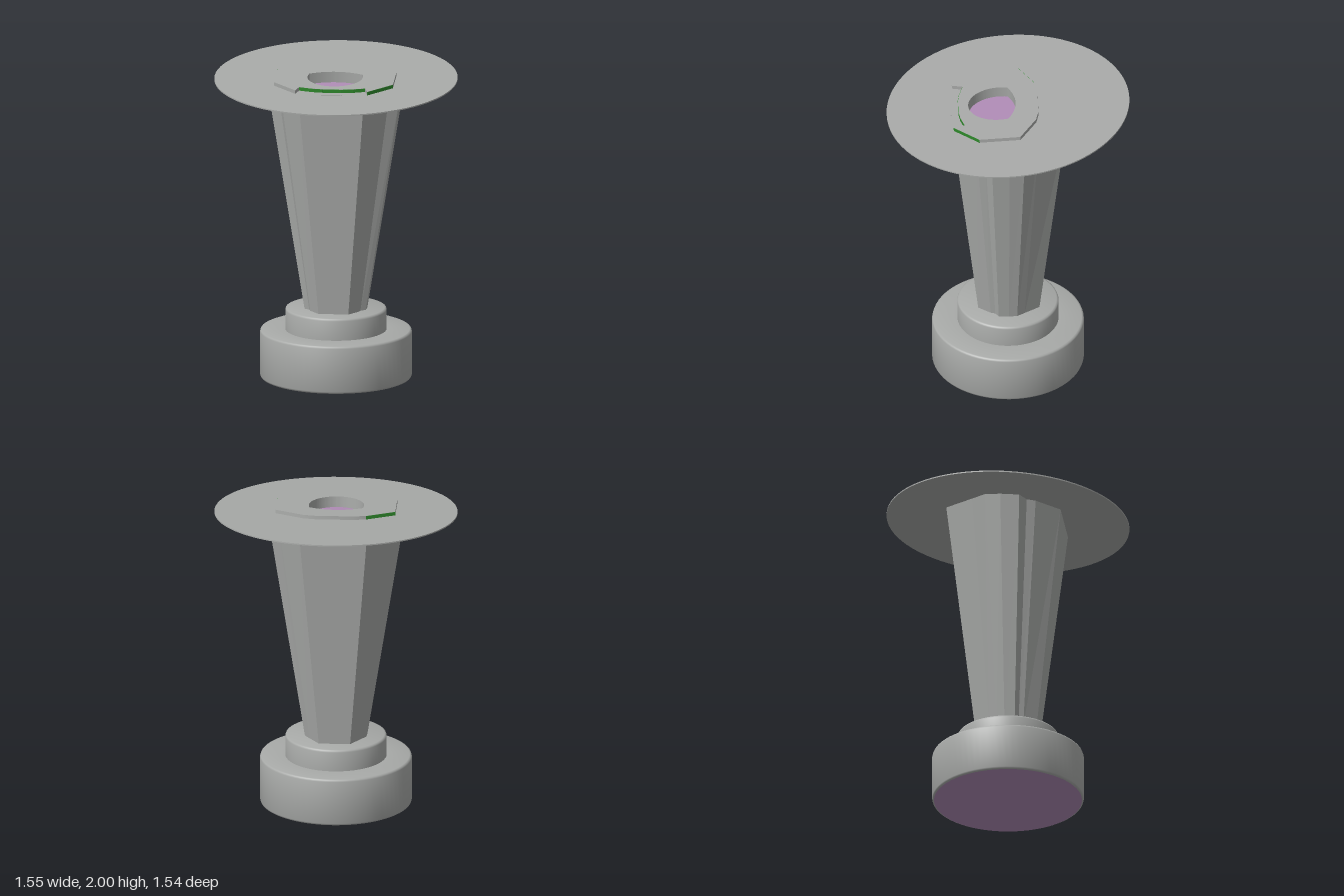
import * as THREE from 'three';
import { toCreasedNormals } from 'three/addons/utils/BufferGeometryUtils.js';

const grey = new THREE.MeshStandardMaterial({ color: 0xa8aaa8 });
grey.name = 'stone grey';
const mauve = new THREE.MeshStandardMaterial({ color: 0xb08cb6 });
mauve.name = 'mauve';
const green = new THREE.MeshStandardMaterial({ color: 0x2f8a2c });
green.name = 'green';

const TILT = 0.065;

function part(name, geometry, material) {
  const mesh = new THREE.Mesh(geometry, material);
  mesh.name = name;
  return mesh;
}

// Horizontal slab from a shape drawn in (x, -z), with its underside at y = bottom
function slab(shape, bottom, height) {
  const g = new THREE.ExtrudeGeometry(shape, { depth: height, bevelEnabled: false, curveSegments: 40 });
  g.rotateX(-Math.PI / 2).translate(0, bottom, 0);
  return toCreasedNormals(g, 0.5);
}

// Right half of an outline, front to back, mirrored into a full loop
const mirrored = (half) => [...half, ...half.map(([x, z]) => [-x, z]).reverse()];

// Rounded basin outline with a shallow arched back
function basinOutline(Type) {
  const s = new Type();
  s.moveTo(-0.17, 0);
  s.bezierCurveTo(-0.2, -0.14, -0.11, -0.252, 0, -0.252);
  s.bezierCurveTo(0.11, -0.252, 0.2, -0.14, 0.17, 0);
  s.quadraticCurveTo(0, 0.1, -0.17, 0);
  return s;
}

// Stepped round base with softened rims
function baseGeometry() {
  const profile = [
    [0.47, 0], [0.478, 0.004], [0.482, 0.014], [0.482, 0.295], [0.478, 0.306], [0.468, 0.31],
    [0.322, 0.31], [0.322, 0.436], [0.318, 0.447], [0.308, 0.451], [0, 0.451],
  ].map(([x, y]) => new THREE.Vector2(x, y));
  return toCreasedNormals(new THREE.LatheGeometry(profile, 72), 0.9);
}

// Flaring faceted column whose top is cut along the tilted disc
function columnGeometry() {
  const loop = mirrored([
    [0.21, 0.36], [0.34, 0.215], [0.36, 0.16], [0.43, 0.12], [0.44, 0], [0.43, -0.1], [0.36, -0.19], [0.22, -0.37],
  ]);
  const n = loop.length;
  const pos = [];
  const index = [];
  loop.forEach(([x, z]) => pos.push(x * 0.45, 0.44, z * 0.53));
  loop.forEach(([x, z]) => pos.push(x, 1.947 - TILT * z, z));
  for (let i = 0; i < n; i++) {
    const j = (i + 1) % n;
    index.push(i, j, n + j, i, n + j, n + i);
  }
  let g = new THREE.BufferGeometry();
  g.setAttribute('position', new THREE.Float32BufferAttribute(pos, 3));
  g.setIndex(index);
  g = g.toNonIndexed();
  g.computeVertexNormals();
  return g;
}

// Thin upright strip along an edge between two (x, z) points
function edgeStrip([x1, z1], [x2, z2]) {
  const g = new THREE.BoxGeometry(Math.hypot(x2 - x1, z2 - z1), 0.022, 0.004);
  g.rotateY(-Math.atan2(z2 - z1, x2 - x1));
  g.translate((x1 + x2) / 2, 0.014, (z1 + z2) / 2);
  return part('edgeStrip', g, green);
}

// Tilted top: wide disc, raised notched plate and sunken basin
function createTop() {
  const top = new THREE.Group();
  top.name = 'tiltedTop';
  top.position.y = 1.95;
  top.rotation.x = TILT;

  const disc = new THREE.Shape();
  disc.absarc(0, 0, 0.773, 0, Math.PI * 2, false);
  disc.holes.push(basinOutline(THREE.Path));
  top.add(part('disc', slab(disc, -0.005, 0.008), grey));

  const outline = mirrored([
    [0.06, 0.315], [0.13, 0.305], [0.21, 0.28], [0.23, 0.35], [0.38, 0.19],
    [0.38, -0.07], [0.2, -0.175], [0.12, -0.192],
  ]);
  const plate = new THREE.Shape(outline.map(([x, z]) => new THREE.Vector2(x, -z)));
  plate.holes.push(basinOutline(THREE.Path));
  top.add(part('raisedPlate', slab(plate, 0.002, 0.024), grey));

  // Green edges of the plate: front recess, one front corner, one rear corner
  const n = outline.length;
  for (const i of [0, 1, 3, n - 1, n - 2, n - 3, 9]) {
    top.add(edgeStrip(outline[i], outline[(i + 1) % n]));
  }

  // Small lip in front of the recess
  const lip = new THREE.BoxGeometry(0.13, 0.004, 0.012);
  top.add(part('frontLip', lip.translate(0, 0.004, 0.363), grey));

  // Basin wall and floor
  const points = basinOutline(THREE.Shape).getPoints(24);
  const outer = new THREE.Shape(points.map((p) => new THREE.Vector2(p.x * 1.04, (p.y + 0.1) * 1.04 - 0.1)));
  outer.holes.push(basinOutline(THREE.Path));
  top.add(part('basinWall', slab(outer, -0.05, 0.046), grey));
  top.add(part('basinFloor', slab(basinOutline(THREE.Shape), -0.05, 0.006), mauve));
  return top;
}

export function createModel() {
  const model = new THREE.Group();
  model.name = 'pedestalTable';
  model.add(part('base', baseGeometry(), grey));
  const underside = new THREE.CircleGeometry(0.47, 72).rotateX(Math.PI / 2);
  model.add(part('baseUnderside', underside, mauve));
  model.add(part('column', columnGeometry(), grey));
  model.add(createTop());
  return model;
}
